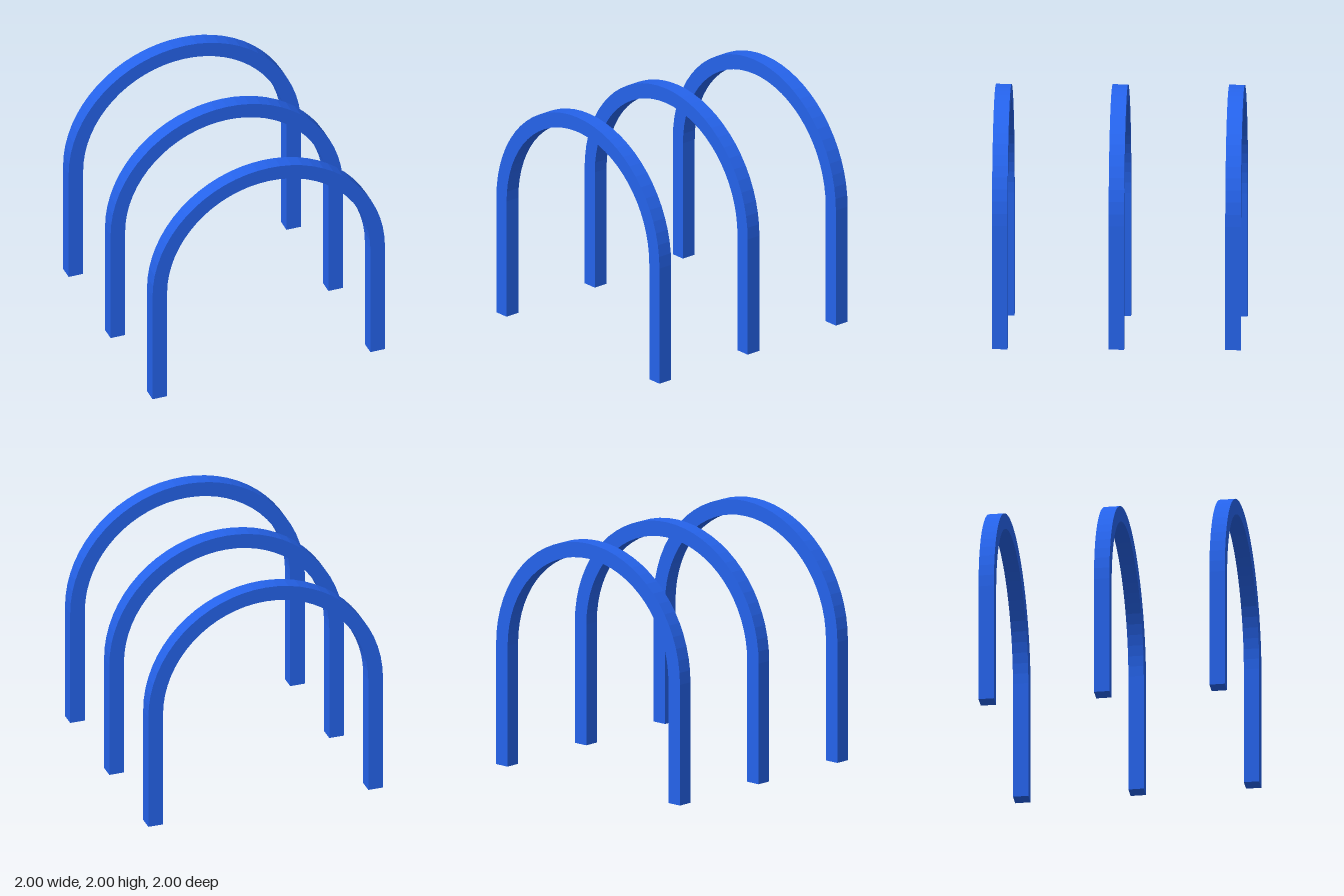
import * as THREE from 'three';

const OUTER = 1, THICK = 0.125, SPRING = 1; // arch radius, bar thickness, height where the curve starts

// Outline of one arch: two straight legs joined by a half ring
function archShape() {
  const inner = OUTER - THICK;
  const s = new THREE.Shape();
  s.moveTo(OUTER, 0);
  s.lineTo(OUTER, SPRING);
  s.absarc(0, SPRING, OUTER, 0, Math.PI, false);
  s.lineTo(-OUTER, 0);
  s.lineTo(-inner, 0);
  s.lineTo(-inner, SPRING);
  s.absarc(0, SPRING, inner, Math.PI, 0, true);
  s.lineTo(inner, 0);
  s.closePath();
  return s;
}

export function createModel() {
  const group = new THREE.Group();
  group.name = 'archRow';
  const material = new THREE.MeshStandardMaterial({ color: 0x2563eb });

  // Square-section bar, centred on its own depth
  const geometry = new THREE.ExtrudeGeometry(archShape(), {
    depth: THICK, bevelEnabled: false, curveSegments: 16,
  });
  geometry.translate(0, 0, -THICK / 2);

  // Three identical arches, evenly spaced from back to front
  const offset = 1 - THICK / 2;
  const places = [['backArch', -offset], ['middleArch', 0], ['frontArch', offset]];
  for (const [name, z] of places) {
    const arch = new THREE.Mesh(geometry, material);
    arch.name = name;
    arch.position.z = z;
    group.add(arch);
  }
  return group;
}
